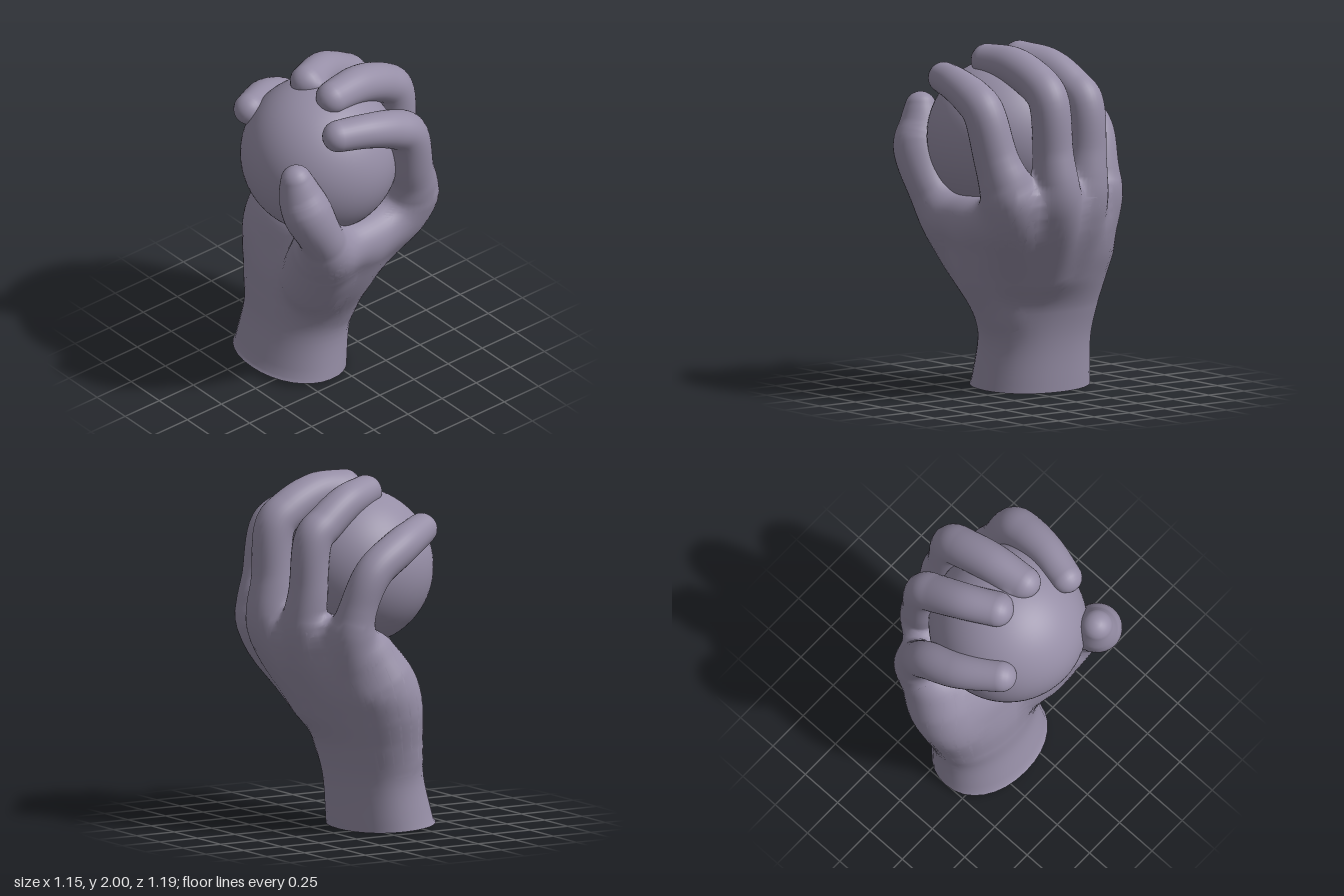
import * as THREE from 'three';

const skin = new THREE.MeshStandardMaterial({ color: 0x968ea6 });
const cut = new THREE.MeshStandardMaterial({ color: 0xcccccc });
const SIDES = 32;
const BLEND = 0.032;

// Smooth surface through closed rings of points, all with SIDES points
function ringMesh(name, rings, material) {
  const index = [];
  for (let i = 0; i < rings.length - 1; i++) {
    for (let j = 0; j < SIDES; j++) {
      const k = (j + 1) % SIDES;
      const a = i * SIDES + j, b = i * SIDES + k;
      index.push(a, b, b + SIDES, a, b + SIDES, a + SIDES);
    }
  }
  const geometry = new THREE.BufferGeometry().setFromPoints(rings.flat());
  geometry.setIndex(index);
  geometry.computeVertexNormals();
  const mesh = new THREE.Mesh(geometry, material);
  mesh.name = name;
  return mesh;
}

// Round limb along [x, y, z, radius] joints, with domed ends
function limb(joints) {
  const path = new THREE.CatmullRomCurve3(joints.map(([x, y, z]) => new THREE.Vector3(x, y, z)));
  const radii = new THREE.CatmullRomCurve3(joints.map((p, i) => new THREE.Vector3(i, p[3], 0)));
  const steps = (joints.length - 1) * 8;
  const dome = 6;
  const spine = Array.from({ length: steps + 1 }, (_, i) => ({
    centre: path.getPoint(i / steps),
    tangent: path.getTangent(i / steps),
    radius: radii.getPoint(i / steps).y,
  }));

  const rings = [];
  const normal = new THREE.Vector3(1, 0, 0.01);
  const addRing = ({ centre, tangent, radius }, angle) => {
    normal.addScaledVector(tangent, -normal.dot(tangent)).normalize();
    const side = tangent.clone().cross(normal);
    const r = radius * Math.cos(angle);
    rings.push(Array.from({ length: SIDES }, (_, j) => {
      const a = (j / SIDES) * Math.PI * 2;
      return centre.clone()
        .addScaledVector(tangent, radius * Math.sin(angle))
        .addScaledVector(normal, r * Math.cos(a))
        .addScaledVector(side, r * Math.sin(a));
    }));
  };
  for (let k = -dome; k < 0; k++) addRing(spine[0], (k / dome) * Math.PI / 2);
  spine.forEach(s => addRing(s, 0));
  for (let k = 1; k <= dome; k++) addRing(spine[steps], (k / dome) * Math.PI / 2);

  // Distance to the chain of capsules along the spine
  const distance = (x, y, z) => {
    let best = Infinity;
    for (let i = 0; i < steps; i++) {
      const a = spine[i].centre, b = spine[i + 1].centre;
      const ux = b.x - a.x, uy = b.y - a.y, uz = b.z - a.z;
      const vx = x - a.x, vy = y - a.y, vz = z - a.z;
      const t = Math.min(1, Math.max(0, (ux * vx + uy * vy + uz * vz) / (ux * ux + uy * uy + uz * uz)));
      const wx = vx - ux * t, wy = vy - uy * t, wz = vz - uz * t;
      const r = spine[i].radius + (spine[i + 1].radius - spine[i].radius) * t;
      best = Math.min(best, Math.sqrt(wx * wx + wy * wy + wz * wz) - r);
    }
    return best;
  };
  return { rings, distance };
}

// Wrist and palm: [y, centre x, centre z, half width, half depth, skew]
function palm() {
  const sections = [
    [0.00, -0.145, 0.13, 0.365, 0.28, 0],
    [0.30, -0.14, 0.08, 0.343, 0.255, 0],
    [0.50, -0.135, 0.045, 0.37, 0.27, 0],
    [0.65, -0.11, 0.00, 0.42, 0.30, 0.03],
    [0.80, -0.08, -0.055, 0.465, 0.322, 0.06],
    [0.95, -0.03, -0.115, 0.465, 0.335, 0.1],
    [1.07, 0.01, -0.18, 0.445, 0.305, 0.13],
    [1.15, 0.02, -0.25, 0.42, 0.235, 0.15],
    [1.21, 0.02, -0.31, 0.34, 0.15, 0.15],
    [1.26, 0.01, -0.34, 0.2, 0.08, 0.15],
    [1.28, 0.01, -0.35, 0.02, 0.01, 0.15],
  ];
  const spine = new THREE.CatmullRomCurve3(sections.map(s => new THREE.Vector3(s[1], s[0], s[2])));
  const size = new THREE.CatmullRomCurve3(sections.map(s => new THREE.Vector3(s[3], s[4], s[5])));
  const power = 2.12;
  const round = v => Math.sign(v) * Math.abs(v) ** (2 / power);
  const steps = (sections.length - 1) * 6;
  const levels = Array.from({ length: steps + 1 }, (_, i) => ({ c: spine.getPoint(i / steps), s: size.getPoint(i / steps) }));

  const rings = levels.map(({ c, s }, i) => Array.from({ length: SIDES }, (_, j) => {
    const a = (j / SIDES) * Math.PI * 2;
    const dx = s.x * round(Math.sin(a));
    const z = c.z + s.y * round(Math.cos(a)) - s.z * dx;
    // The wrist is cut at a slight slope
    const y = i === 0 ? Math.max(0, 0.06 * (z + 0.15)) : c.y;
    return new THREE.Vector3(c.x + dx, y, z);
  }));

  // Approximate distance to the palm, from the section at this height
  const c = new THREE.Vector3(), s = new THREE.Vector3();
  const distance = (x, y, z) => {
    let i = 0;
    while (i < steps - 1 && levels[i + 1].c.y < y) i++;
    const low = levels[i], high = levels[i + 1];
    const t = Math.min(1, Math.max(0, (y - low.c.y) / (high.c.y - low.c.y)));
    c.lerpVectors(low.c, high.c, t);
    s.lerpVectors(low.s, high.s, t);
    const dx = x - c.x, dz = z - c.z + s.z * dx;
    const k = (Math.abs(dx / s.x) ** power + Math.abs(dz / s.y) ** power) ** (1 / power);
    return Math.max((k - 1) * Math.max(0.15, Math.min(s.x, s.y)), y - 1.28);
  };
  return { rings, distance };
}

// Draw the vertices near a joint out to the blended skin of all parts
function blendSkin(mesh, parts) {
  const field = (x, y, z) => {
    let sum = 0;
    for (const part of parts) sum += Math.exp(-part.distance(x, y, z) / BLEND);
    return -BLEND * Math.log(sum + 1e-30);
  };
  const h = 0.004;
  const slope = new THREE.Vector3();
  const measure = ({ x, y, z }) => {
    const f = field(x, y, z);
    slope.set(field(x + h, y, z) - f, field(x, y + h, z) - f, field(x, y, z + h) - f).divideScalar(h);
    return f;
  };
  const { position, normal } = mesh.geometry.attributes;
  const p = new THREE.Vector3();
  for (let i = 0; i < position.count; i++) {
    p.fromBufferAttribute(position, i);
    let f = measure(p);
    if (f < -0.07 || p.y < 0.06) continue;
    for (let n = 0; n < 3; n++) {
      p.addScaledVector(slope, -f / Math.max(0.3, slope.lengthSq()));
      f = measure(p);
    }
    slope.normalize();
    position.setXYZ(i, p.x, p.y, p.z);
    normal.setXYZ(i, slope.x, slope.y, slope.z);
  }
}

export function createModel() {
  const model = new THREE.Group();
  model.name = 'handHoldingBall';

  // Held ball
  const ball = new THREE.Mesh(new THREE.SphereGeometry(0.45, 64, 40), skin);
  ball.name = 'ball';
  ball.position.set(0.06, 1.46, 0.08);
  model.add(ball);

  // Fingers, thumb and the pads of the palm, from root to tip
  const limbs = {
    indexFinger: [
      [0.14, 0.75, -0.14, 0.13], [0.345, 1.14, -0.34, 0.155], [0.415, 1.4, -0.298, 0.127],
      [0.455, 1.67, -0.23, 0.118], [0.455, 1.735, -0.13, 0.112], [0.44, 1.785, 0.03, 0.1], [0.395, 1.805, 0.22, 0.09],
    ],
    middleFinger: [
      [0.0, 0.75, -0.2, 0.14], [0.1, 1.17, -0.45, 0.135], [0.115, 1.42, -0.438, 0.115],
      [0.125, 1.73, -0.405, 0.115], [0.13, 1.805, -0.32, 0.114], [0.155, 1.888, -0.12, 0.11], [0.185, 1.905, 0.09, 0.092],
    ],
    ringFinger: [
      [-0.14, 0.75, -0.16, 0.13], [-0.15, 1.13, -0.37, 0.13], [-0.175, 1.40, -0.37, 0.11],
      [-0.178, 1.69, -0.335, 0.11], [-0.165, 1.755, -0.26, 0.108], [-0.122, 1.86, -0.09, 0.103], [-0.045, 1.9, 0.09, 0.094],
    ],
    littleFinger: [
      [-0.27, 0.75, -0.06, 0.13], [-0.375, 1.08, -0.21, 0.13], [-0.405, 1.30, -0.18, 0.108],
      [-0.425, 1.5, -0.09, 0.107], [-0.385, 1.62, 0.1, 0.106], [-0.265, 1.695, 0.325, 0.092],
    ],
    thumb: [
      [0.02, 0.46, 0.07, 0.15], [0.15, 0.72, 0.18, 0.19], [0.28, 0.95, 0.235, 0.19],
      [0.395, 1.15, 0.34, 0.13], [0.405, 1.38, 0.45, 0.142], [0.37, 1.49, 0.475, 0.123],
      [0.355, 1.6, 0.493, 0.09],
    ],
    thumbWeb: [
      [0.31, 1.03, -0.26, 0.13], [0.35, 1.02, -0.05, 0.13], [0.36, 1.01, 0.2, 0.13],
    ],
    webPad: [
      [0.1, 0.5, 0.03, 0.14], [0.235, 0.75, 0.04, 0.155], [0.32, 0.95, 0.01, 0.145],
    ],
    heelPad: [
      [-0.34, 0.45, 0.09, 0.13], [-0.378, 0.78, 0.03, 0.175], [-0.365, 1.0, -0.08, 0.15],
    ],
  };
  const parts = { palmAndWrist: palm() };
  for (const [name, joints] of Object.entries(limbs)) parts[name] = limb(joints);
  for (const [name, part] of Object.entries(parts)) {
    const mesh = ringMesh(name, part.rings, skin);
    blendSkin(mesh, Object.values(parts));
    model.add(mesh);
  }

  // Flat end of the wrist
  const rim = parts.palmAndWrist.rings[0];
  const middle = new THREE.Vector3(-0.145, 0.017, 0.13);
  model.add(ringMesh('wristEnd', [rim.map(() => middle), rim], cut));

  return model;
}
